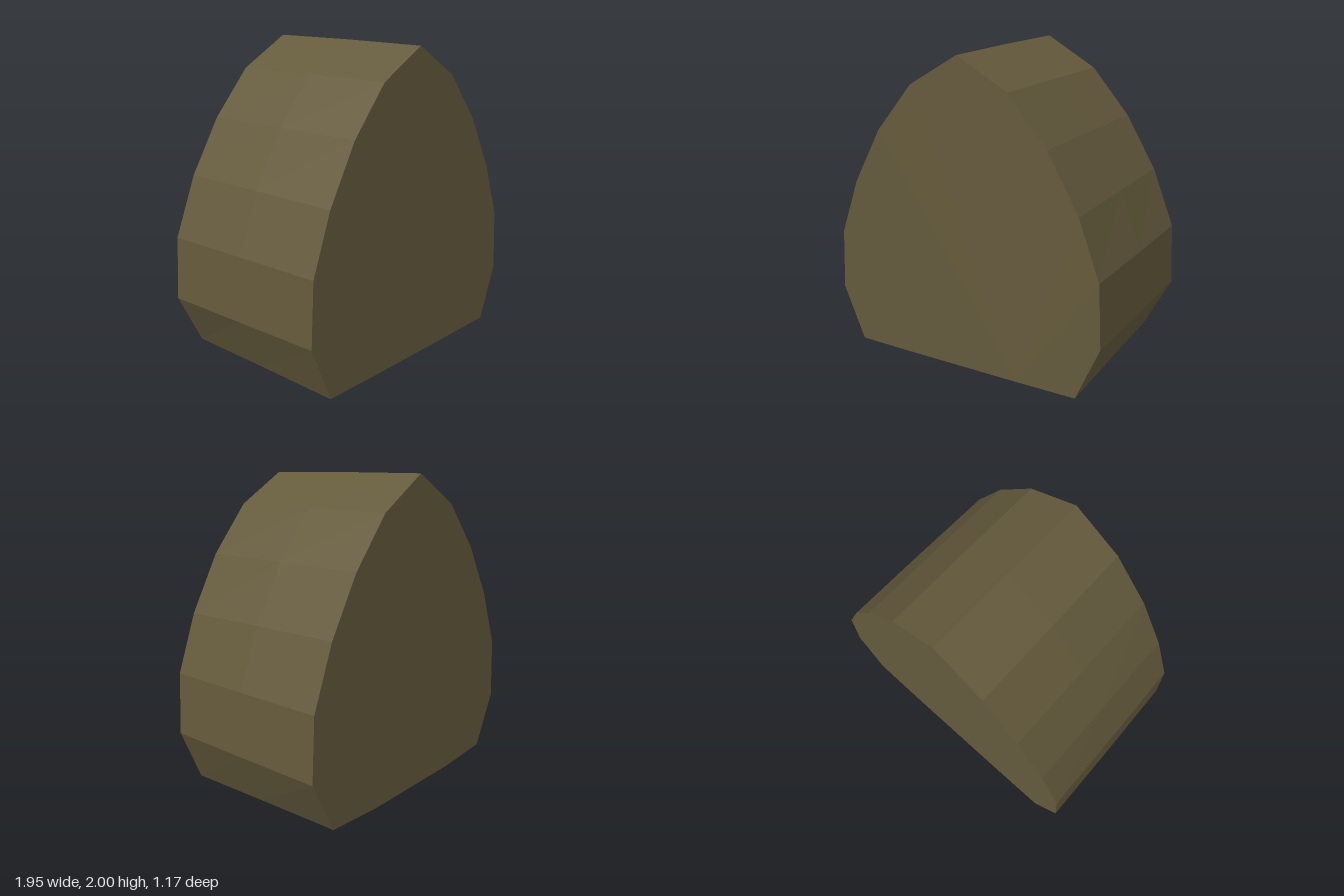
import * as THREE from 'three';

// Half outlines from the underside up to the ridge: [x, y]
const FRONT = [[0.4, 0], [0.795, 0.003], [0.945, 0.355], [0.925, 0.755], [0.79, 1.12], [0.59, 1.475], [0.335, 1.775], [0, 1.965]];
const BACK = [[0.4, 0], [0.8, 0.025], [0.973, 0.365], [0.953, 0.767], [0.805, 1.147], [0.6, 1.495], [0.343, 1.797], [0, 2]];
const DEPTH = 0.585;

// Mirror a half outline into a closed ring, counter-clockwise from the front
function ring(half, z) {
  const mirrored = half.slice(0, -1).reverse().map(([x, y]) => [-x, y]);
  return [...half, ...mirrored].map(([x, y]) => new THREE.Vector3(x, y, z));
}

export function createModel() {
  const olive = new THREE.MeshStandardMaterial({ color: 0x645a3c });
  olive.name = 'olive brown';

  // The middle section sits slightly nearer the larger back outline
  const middle = FRONT.map(([x, y], i) => [
    THREE.MathUtils.lerp(x, BACK[i][0], 0.6),
    THREE.MathUtils.lerp(y, BACK[i][1], 0.6),
  ]);
  const rings = [ring(FRONT, DEPTH), ring(middle, 0), ring(BACK, -DEPTH)];
  const n = rings[0].length;

  // Faceted walls between neighbouring rings
  const wall = [];
  for (let r = 0; r < 2; r++) {
    const a = rings[r], b = rings[r + 1];
    for (let i = 0; i < n; i++) {
      const j = (i + 1) % n;
      wall.push(a[i], b[i], b[j], a[i], b[j], a[j]);
    }
  }

  // Flat end faces, fanned from the first corner
  const frontCap = [], backCap = [];
  for (let i = 1; i < n - 1; i++) {
    frontCap.push(rings[0][0], rings[0][i], rings[0][i + 1]);
    backCap.push(rings[2][0], rings[2][i + 1], rings[2][i]);
  }

  const group = new THREE.Group();
  group.name = 'archedBlock';
  const parts = { archedWall: wall, frontFace: frontCap, backFace: backCap };
  for (const [name, points] of Object.entries(parts)) {
    const geometry = new THREE.BufferGeometry().setFromPoints(points);
    geometry.computeVertexNormals(); // unshared corners keep the facets flat
    const mesh = new THREE.Mesh(geometry, olive);
    mesh.name = name;
    group.add(mesh);
  }
  return group;
}
